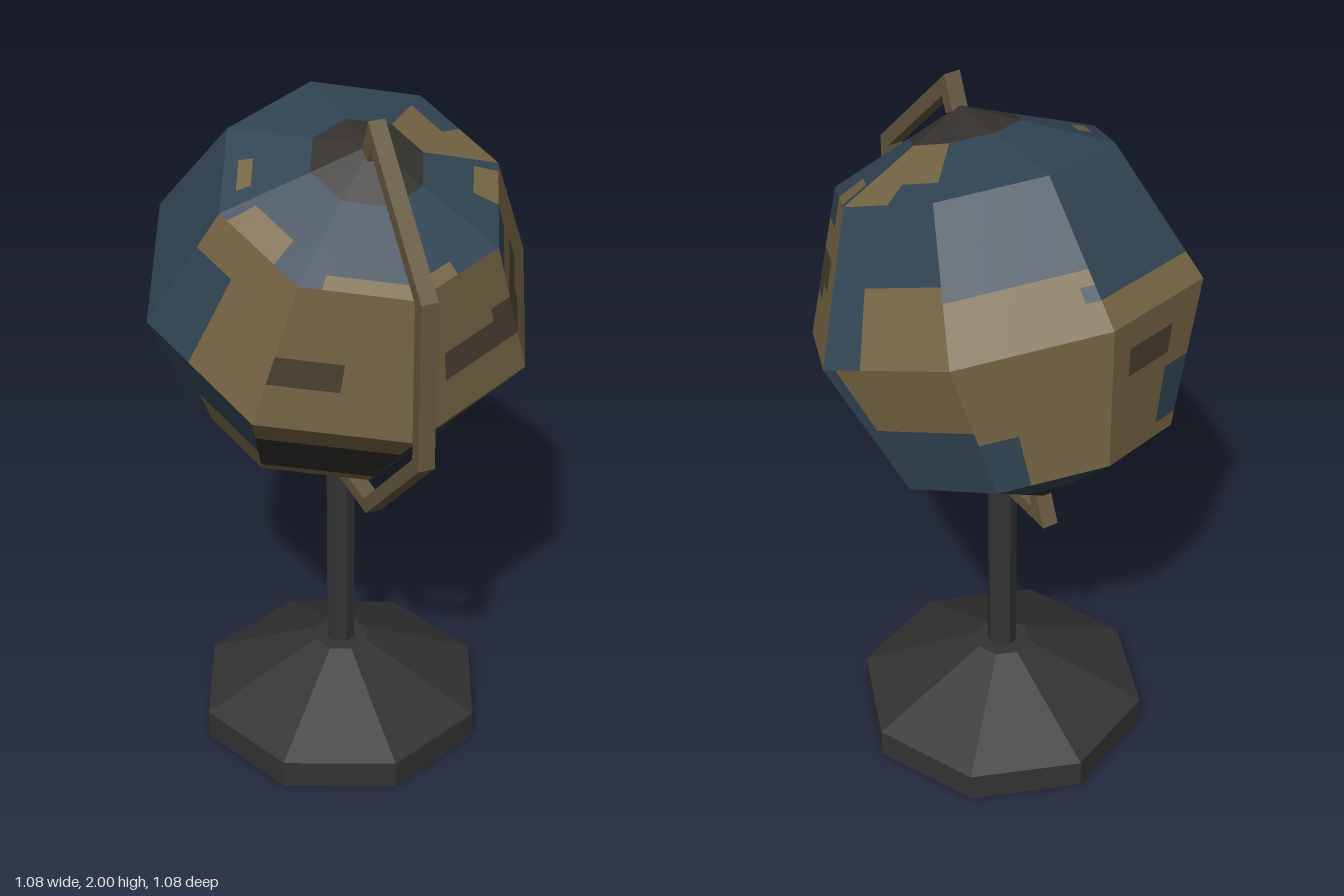
import * as THREE from 'three';

const paint = (name, color, extra = {}) => {
  const m = new THREE.MeshStandardMaterial({ color, flatShading: true, ...extra });
  m.name = name;
  return m;
};

// Globe patches: [colour, u0, u1, v0, v1]; u = eighths of a turn from the front
// towards the left side (+x), v = bands from the north pole. Later patches win.
const PATCHES = [
  // northern band
  ['land', 2, 3, 0.4, 0.8], ['land', 2, 2.5, 0.8, 1], ['land', 1.5, 1.9, 0.8, 1],
  ['land', 5.4, 5.8, 0.75, 0.95], ['land', -1.9, -1.3, 0.8, 1], ['land', -0.8, 0.5, 0.9, 1],
  // upper middle band
  ['land', -2, 2, 1, 2], ['ocean', 1, 1.5, 1, 1.2], ['ocean', -2, -1.6, 1.3, 2],
  ['hills', 0.3, 1.3, 1.5, 1.7], ['hills', 0.8, 1.6, 1.4, 1.6], ['hills', -1, -0.5, 1.5, 1.7],
  ['land', 2.3, 3, 1.5, 2], ['land', 3, 4, 1.6, 2], ['land', 4, 5, 1.8, 2],
  ['ocean', 3.9, 4.2, 1.7, 1.8],
  // lower middle band
  ['land', -1, 1, 2, 3], ['polar', -1, 1, 2.3, 2.9], ['land', 1, 2, 2.6, 3],
  ['land', 2.1, 3, 2, 2.5], ['land', 3, 6, 2, 3], ['ocean', 3, 3.3, 2.6, 3],
  ['hills', 4.2, 4.7, 2.2, 2.4], ['ocean', 4.7, 5.8, 2.5, 2.9], ['ocean', 5.3, 6, 2, 2.2],
  ['land', -1.7, -1, 2.6, 3],
  // southern band
  ['land', 1, 2, 3, 3.3], ['land', 4.2, 6, 3, 3.4],
];

const R = 0.54;

function ringPoint(u, v) {
  const a = u * Math.PI / 4, b = v * Math.PI / 4;
  return new THREE.Vector3(
    R * Math.sin(b) * Math.sin(a), R * Math.cos(b), R * Math.sin(b) * Math.cos(a));
}

// Point on the flat facets of the 8 x 4 sphere
function facetPoint(s, t, fu, fv) {
  const top = ringPoint(s, t).lerp(ringPoint(s + 1, t), fu);
  const low = ringPoint(s, t + 1).lerp(ringPoint(s + 1, t + 1), fu);
  return top.lerp(low, fv);
}

function colourAt(u, v) {
  if (v < 0.4 || v > 3.6) return 'polar';
  let colour = 'ocean';
  for (const [name, u0, u1, v0, v1] of PATCHES) {
    const w = u > u1 ? u - 8 : u;
    if (w > u0 && w < u1 && v > v0 && v < v1) colour = name;
  }
  return colour;
}

// One mesh per colour, made of small cells lying in the big facets
function buildGlobe(mats) {
  const N = 10, cells = { ocean: [], land: [], hills: [], polar: [] };
  for (let s = 0; s < 8; s++) for (let t = 0; t < 4; t++) {
    for (let i = 0; i < N; i++) for (let j = 0; j < N; j++) {
      const out = cells[colourAt(s + (i + 0.5) / N, t + (j + 0.5) / N)];
      const a = facetPoint(s, t, i / N, j / N);
      const b = facetPoint(s, t, i / N, (j + 1) / N);
      const c = facetPoint(s, t, (i + 1) / N, (j + 1) / N);
      const d = facetPoint(s, t, (i + 1) / N, j / N);
      const atNorth = t === 0 && j === 0, atSouth = t === 3 && j === N - 1;
      if (!atSouth) out.push(a, b, c);
      if (!atNorth) out.push(a, c, d);
    }
  }
  const globe = new THREE.Group();
  globe.name = 'globe';
  for (const name in cells) {
    const g = new THREE.BufferGeometry().setFromPoints(cells[name]);
    g.computeVertexNormals();
    const m = new THREE.Mesh(g, mats[name]);
    m.name = name + 'Surface';
    globe.add(m);
  }
  return globe;
}

// Half-octagon arm with a short pin at each pole
function buildBracket(mat) {
  const outer = 0.628, inner = 0.587, pts = [];
  const at = (r, k) => new THREE.Vector2(
    r * Math.sin(k * Math.PI / 4), r * Math.cos(k * Math.PI / 4));
  const pin = (y) => new THREE.Vector2(0.04, y);
  for (let k = 0; k <= 4; k++) pts.push(at(outer, k));
  pts.push(at(0.525, 4), pin(-0.525), pin(-0.57));
  for (let k = 3; k >= 1; k--) pts.push(at(inner, k));
  pts.push(pin(0.57), pin(0.525), at(0.525, 0));
  const g = new THREE.ExtrudeGeometry(new THREE.Shape(pts), { depth: 0.046, bevelEnabled: false });
  g.translate(0, 0, -0.023).rotateY(-Math.PI / 2);
  const m = new THREE.Mesh(g, mat);
  m.name = 'bracket';
  return m;
}

export function createModel() {
  const mats = {
    ocean: paint('ocean blue', 0x324554),
    land: paint('land tan', 0x776645),
    hills: paint('hill brown', 0x4b4132),
    polar: paint('polar grey', 0x35322f),
  };
  const brass = paint('bracket brass', 0x65583f);
  const iron = paint('stand iron', 0x333333, { side: THREE.DoubleSide });

  const model = new THREE.Group();
  model.name = 'deskGlobe';

  // Tilted globe and its bracket
  const tilted = new THREE.Group();
  tilted.name = 'tiltedGlobe';
  tilted.position.set(0, 1.42, -0.04);
  tilted.rotation.x = Math.PI / 8;
  tilted.add(buildGlobe(mats), buildBracket(brass));
  model.add(tilted);

  // Post
  const post = new THREE.Mesh(new THREE.CylinderGeometry(0.042, 0.042, 0.6, 8), iron);
  post.name = 'post';
  post.position.set(0, 0.54, -0.04);
  model.add(post);

  // Hollow eight-sided foot
  const profile = [[0.415, 0], [0.415, 0.085], [0.08, 0.255], [0, 0.255]]
    .map(([x, y]) => new THREE.Vector2(x, y));
  const foot = new THREE.Mesh(new THREE.LatheGeometry(profile, 8), iron);
  foot.name = 'foot';
  foot.position.z = -0.04;
  model.add(foot);

  return model;
}
